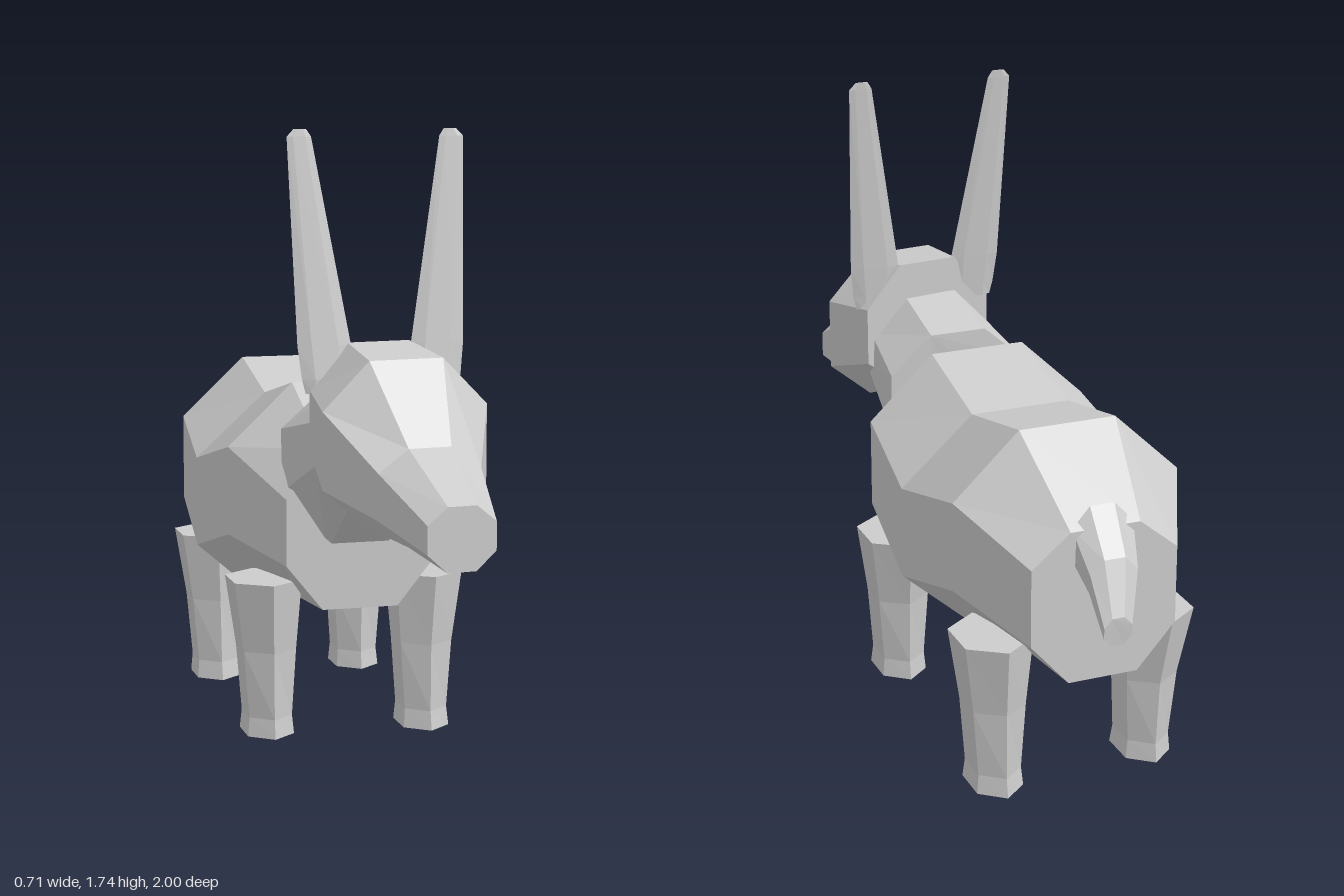
import * as THREE from 'three';

const grey = new THREE.MeshStandardMaterial({ color: 0xcccccc });
grey.name = 'plain grey';
grey.flatShading = true;

// Skin a row of rings (each clockwise seen along its own axis) and close both ends
function loft(name, rings) {
  const pos = [];
  const tri = (a, b, c) => pos.push(...a, ...b, ...c);
  const n = rings[0].length;
  for (let i = 0; i < rings.length - 1; i++) {
    for (let j = 0; j < n; j++) {
      const k = (j + 1) % n;
      const a = rings[i][j], b = rings[i][k], c = rings[i + 1][k], d = rings[i + 1][j];
      tri(a, d, c);
      tri(a, c, b);
    }
  }
  const first = rings[0], last = rings[rings.length - 1];
  for (let j = 1; j < n - 1; j++) {
    tri(first[0], first[j], first[j + 1]);
    tri(last[0], last[j + 1], last[j]);
  }
  const geo = new THREE.BufferGeometry();
  geo.setAttribute('position', new THREE.Float32BufferAttribute(pos, 3));
  geo.computeVertexNormals();
  const mesh = new THREE.Mesh(geo, grey);
  mesh.name = name;
  return mesh;
}

// Eight-sided upright ring: four heights, half widths of flats and sides;
// z is one value or four, yaw slides the left side backward
function octagon(z, ys, wFlat, wSide, cx = 0, yaw = 0) {
  const w = [wFlat, wSide, wSide, wFlat];
  const point = (i, s) => {
    const zi = Array.isArray(z) ? z[i] : z;
    return [cx + s * w[i], ys[i], zi - yaw * s * w[i]];
  };
  return [0, 1, 2, 3].map(i => point(i, 1)).concat([3, 2, 1, 0].map(i => point(i, -1)));
}

// Six-sided level ring, with corners starting at the given angle
function hexagon(x, y, z, rx, rz, start) {
  return Array.from({ length: 6 }, (_, j) => {
    const a = start + j * Math.PI / 3;
    return [x + rx * Math.cos(a), y, z + rz * Math.sin(a)];
  });
}

function leg(name, side, zTop, zFoot) {
  const levels = [ // y, centre x, half width, half depth, travel toward foot
    [0, 0.23, 0.068, 0.11, 1],
    [0.055, 0.23, 0.063, 0.1, 0.9],
    [0.25, 0.232, 0.077, 0.103, 0.6],
    [0.455, 0.24, 0.098, 0.133, 0],
  ];
  return loft(name, levels.map(([y, x, w, d, t]) =>
    hexagon(side * x, y, zTop + (zFoot - zTop) * t, w / Math.cos(Math.PI / 6), d, Math.PI / 6)));
}

function ear(name, side) {
  const levels = [ // y, centre x, z, half width, half thickness
    [1.03, 0.165, 0.42, 0.05, 0.012],
    [1.07, 0.155, 0.418, 0.07, 0.014],
    [1.16, 0.16, 0.408, 0.075, 0.013],
    [1.72, 0.215, 0.35, 0.034, 0.004],
    [1.74, 0.212, 0.348, 0.018, 0.003],
  ];
  return loft(name, levels.map(([y, x, z, w, d]) =>
    hexagon(0.013 + side * x, y, z, w, d, 0)));
}

export function createModel() {
  const model = new THREE.Group();
  model.name = 'longEaredAnimal';

  // Barrel body, rump to chest
  model.add(loft('body', [
    octagon(-0.87, [0.81, 0.72, 0.5, 0.375], 0.1, 0.21),
    octagon(-0.62, [1.01, 0.83, 0.575, 0.385], 0.14, 0.33),
    octagon(-0.3, [0.94, 0.75, 0.485, 0.3], 0.145, 0.355),
    octagon(0.02, [1.01, 0.83, 0.575, 0.39], 0.14, 0.33),
    octagon(0.25, [0.85, 0.71, 0.52, 0.39], 0.11, 0.215),
  ]));

  // Neck
  model.add(loft('neck', [
    octagon([0.17, 0.17, 0.18, 0.2], [1.01, 0.9, 0.72, 0.54], 0.085, 0.21),
    octagon([0.4, 0.41, 0.46, 0.44], [1.06, 0.95, 0.84, 0.73], 0.08, 0.185),
  ]));

  // Head and muzzle, turned a little to its left
  model.add(loft('head', [
    octagon(0.393, [1.165, 1.04, 0.87, 0.79], 0.09, 0.2, 0.01, 0.1),
    octagon([0.61, 0.605, 0.605, 0.6], [1.14, 1.01, 0.8, 0.69], 0.105, 0.235, 0.025, 0.1),
    octagon(0.76, [0.925, 0.865, 0.74, 0.665], 0.06, 0.145, 0.045, 0.1),
    octagon(0.988, [0.81, 0.765, 0.69, 0.64], 0.04, 0.095, 0.06, 0.1),
  ]));

  // Tail, tip to base
  model.add(loft('tail', [
    octagon([-1, -1, -0.998, -0.995], [0.61, 0.585, 0.555, 0.53], 0.018, 0.04, 0.02),
    octagon([-0.94, -0.937, -0.93, -0.925], [0.75, 0.71, 0.66, 0.62], 0.03, 0.068, 0.005),
    octagon([-0.845, -0.85, -0.86, -0.865], [0.865, 0.81, 0.72, 0.66], 0.035, 0.088),
  ]));

  model.add(ear('leftEar', 1), ear('rightEar', -1));
  model.add(leg('frontLeftLeg', 1, 0.07, 0.09), leg('frontRightLeg', -1, 0.07, 0.065));
  model.add(leg('backLeftLeg', 1, -0.665, -0.66), leg('backRightLeg', -1, -0.665, -0.635));
  return model;
}
